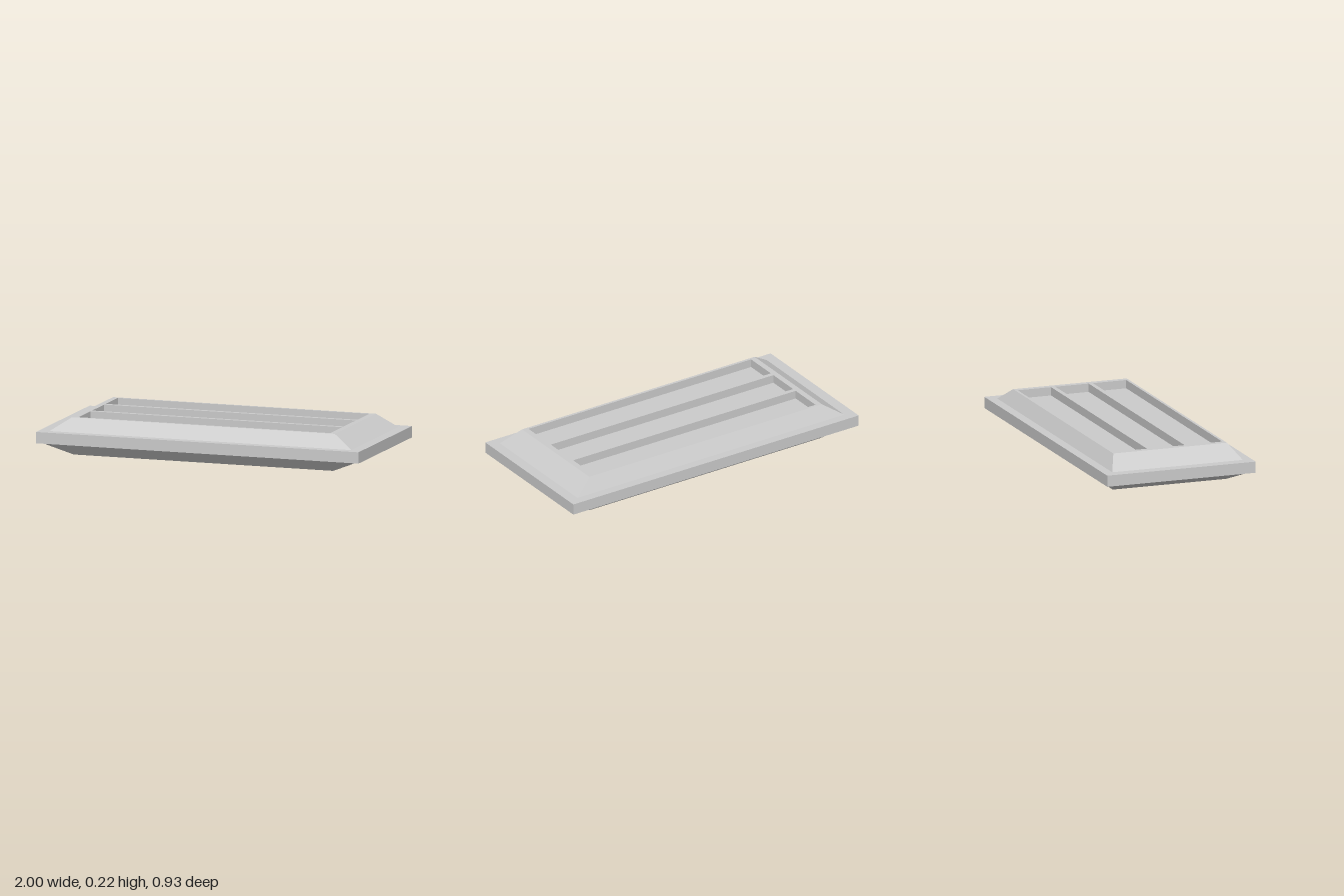
import * as THREE from 'three';

const material = new THREE.MeshStandardMaterial({ color: 0xcccccc, flatShading: true });

function add(group, name, geometry, y = 0, z = 0) {
  const mesh = new THREE.Mesh(geometry, material);
  mesh.name = name;
  mesh.position.set(0, y, z);
  group.add(mesh);
}

// Trace a rectangle of half sizes w, d around (0, cy)
function rectangle(path, w, d, cy = 0) {
  path.moveTo(-w, cy - d);
  path.lineTo(w, cy - d);
  path.lineTo(w, cy + d);
  path.lineTo(-w, cy + d);
  path.closePath();
  return path;
}

export function createModel() {
  const group = new THREE.Group();
  group.name = 'panel';
  const slotCentres = [-0.235, 0, 0.235];
  const slotW = 0.78, slotD = 0.104;

  // Flat rim slab
  add(group, 'rim', new THREE.BoxGeometry(2, 0.067, 0.928), 0.1065);

  // Underside, tapering to a smaller bottom face
  const base = new THREE.BoxGeometry(1.96, 0.073, 0.86);
  let p = base.attributes.position;
  for (let i = 0; i < p.count; i++) {
    if (p.getY(i) < 0) {
      p.setX(i, Math.sign(p.getX(i)) * 0.805);
      p.setZ(i, Math.sign(p.getZ(i)) * 0.355);
    }
  }
  base.computeVertexNormals();
  add(group, 'taperedBase', base, 0.0365);

  // Raised top with three slots; its outer lower edge is spread outwards
  const outline = rectangle(new THREE.Shape(), 0.815, 0.355);
  for (const c of slotCentres) outline.holes.push(rectangle(new THREE.Path(), slotW, slotD, c));
  const top = new THREE.ExtrudeGeometry(outline, { depth: 0.08, bevelEnabled: false });
  top.rotateX(-Math.PI / 2);
  p = top.attributes.position;
  for (let i = 0; i < p.count; i++) {
    if (p.getY(i) < 0.04 && Math.abs(p.getX(i)) > 0.8) {
      p.setX(i, Math.sign(p.getX(i)) * 0.935);
      p.setZ(i, Math.sign(p.getZ(i)) * 0.408);
    }
  }
  top.computeVertexNormals();
  add(group, 'raisedTop', top, 0.14);

  // Floors of the slots
  for (const c of slotCentres) {
    add(group, 'slotFloor', new THREE.BoxGeometry(2 * slotW, 0.03, 2 * slotD), 0.155, c);
  }
  return group;
}
